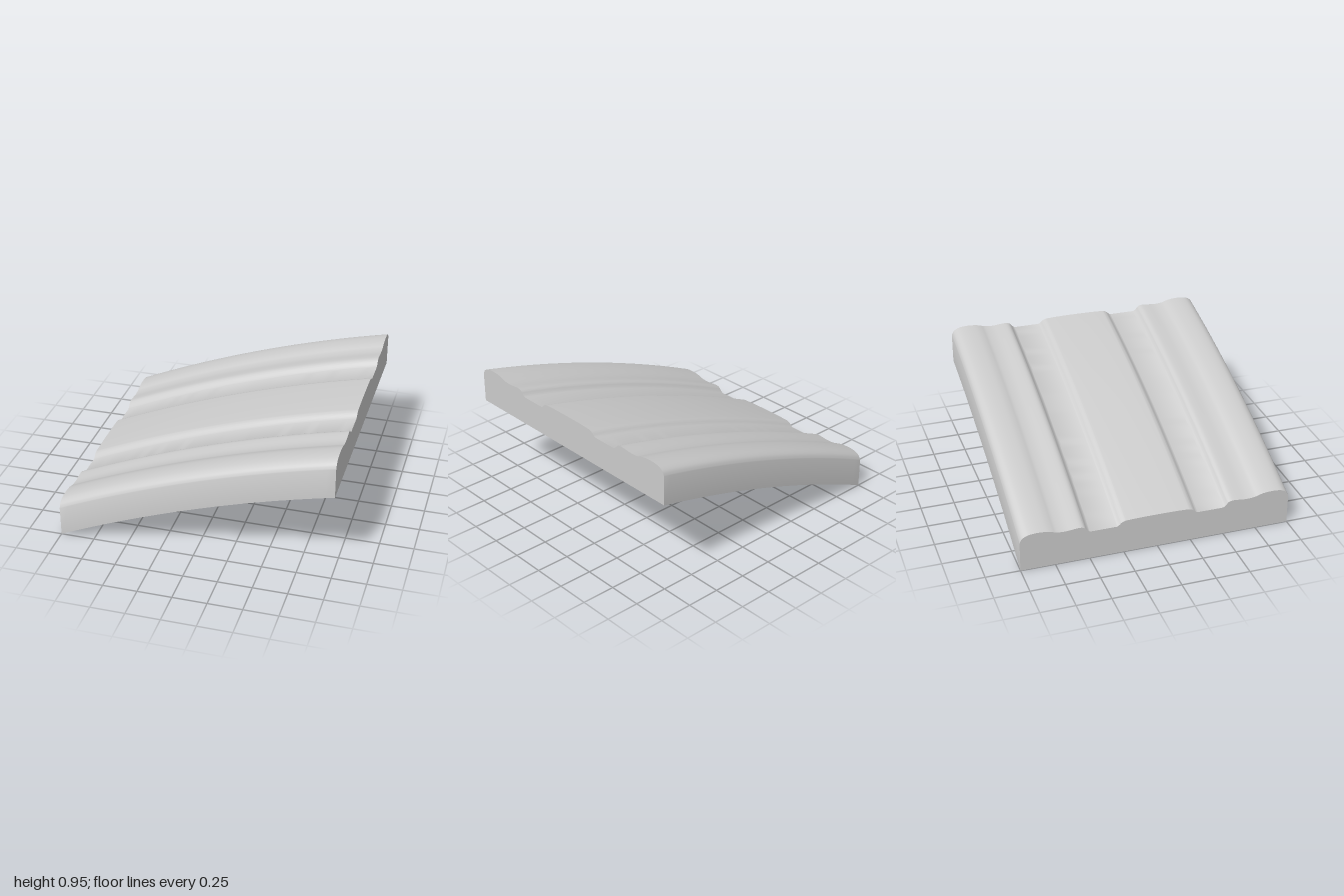
import * as THREE from 'three';
import { toCreasedNormals } from 'three/addons/utils/BufferGeometryUtils.js';

// Height of the curved underside along x
const rise = (x) => 0.398 + 0.335 * x - 0.061 * x * x + 0.002 * x * x;

// Half profile (z, height above the underside), from outer edge to middle
const rim = [[1, 0.222], [0.985, 0.252], [0.955, 0.273], [0.92, 0.282], [0.87, 0.285], [0.81, 0.281],
  [0.77, 0.272], [0.74, 0.262], [0.7, 0.257], [0.66, 0.257], [0.6, 0.263], [0.56, 0.264],
  [0.535, 0.255], [0.52, 0.239], [0.505, 0.225], [0.49, 0.219]];
const crown = [[0.3, 0.219], [0.285, 0.227], [0.265, 0.245], [0.245, 0.254], [0.22, 0.257], [0.1, 0.261]];

const mirror = (pts) => pts.map(([z, y]) => [-z, y]).reverse();
const toVectors = (pts) => pts.map(([z, y]) => new THREE.Vector2(z, y));

export function createModel() {
  const group = new THREE.Group();
  group.name = 'curvedMoulding';
  const stone = new THREE.MeshStandardMaterial({ color: 0xcccccc });
  stone.name = 'light grey';

  // Moulding cross-section: rim, groove, crown, groove, rim
  const profile = new THREE.Shape();
  profile.moveTo(-1, 0);
  profile.lineTo(1, 0);
  profile.lineTo(...rim[0]);
  profile.splineThru(toVectors(rim.slice(1)));
  profile.lineTo(...crown[0]);
  profile.splineThru(toVectors([...crown.slice(1), ...mirror(crown)]));
  const farRim = mirror(rim);
  profile.lineTo(...farRim[0]);
  profile.splineThru(toVectors(farRim.slice(1)));
  profile.closePath();

  // Sweep along x, then bend upward with vertical ends
  let geometry = new THREE.ExtrudeGeometry(profile, { depth: 2, steps: 32, curveSegments: 3, bevelEnabled: false });
  geometry.rotateY(Math.PI / 2).translate(-1, 0, 0);
  const pos = geometry.attributes.position;
  for (let i = 0; i < pos.count; i++) pos.setY(i, pos.getY(i) + rise(pos.getX(i)));
  geometry = toCreasedNormals(geometry, Math.PI / 7);
  geometry.clearGroups();

  const moulding = new THREE.Mesh(geometry, stone);
  moulding.name = 'moulding';
  group.add(moulding);
  return group;
}
